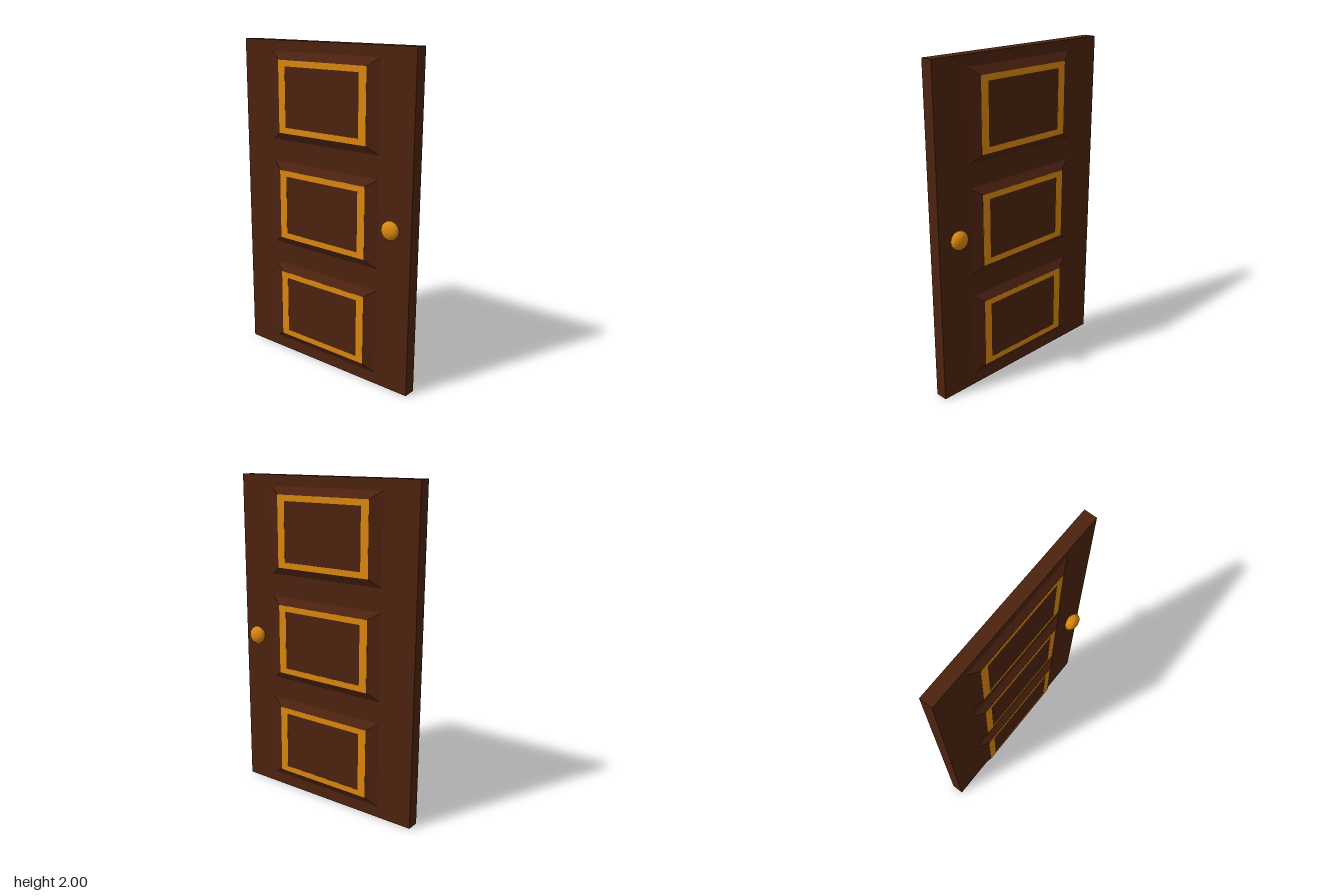
import * as THREE from 'three';

const WIDTH = 1.258, HEIGHT = 2, HALF = 0.0385;   // slab
const RAISE = 0.029;                              // panel relief
const BASE = [0.8, 0.53], FACE = [0.656, 0.436], INNER = [0.552, 0.364];

// Box whose outer (+z) face is shrunk to form a bevelled panel
function bevelledPanel() {
  const g = new THREE.BoxGeometry(BASE[0], BASE[1], RAISE);
  const p = g.attributes.position;
  for (let i = 0; i < p.count; i++) {
    if (p.getZ(i) > 0) {
      p.setX(i, Math.sign(p.getX(i)) * FACE[0] / 2);
      p.setY(i, Math.sign(p.getY(i)) * FACE[1] / 2);
    }
  }
  const flat = g.toNonIndexed();
  flat.computeVertexNormals();
  return flat;
}

function rectangle(target, [w, h]) {
  target.moveTo(-w / 2, -h / 2).lineTo(w / 2, -h / 2).lineTo(w / 2, h / 2).lineTo(-w / 2, h / 2).closePath();
  return target;
}

// Thin rectangular inlay with an open centre
function inlayFrame() {
  const shape = rectangle(new THREE.Shape(), FACE);
  shape.holes.push(rectangle(new THREE.Path(), INNER));
  return new THREE.ExtrudeGeometry(shape, { depth: 0.001, bevelEnabled: false });
}

// Squashed faceted ball with its pole pointing out of the door
function knobGeometry() {
  const g = new THREE.SphereGeometry(1, 16, 10);
  g.rotateX(Math.PI / 2);
  g.scale(0.057, 0.057, 0.036);
  const flat = g.toNonIndexed();
  flat.computeVertexNormals();
  return flat;
}

export function createModel() {
  const wood = new THREE.MeshStandardMaterial({ color: 0x4d220f });
  wood.name = 'dark wood';
  const brass = new THREE.MeshStandardMaterial({ color: 0xd9870f });
  brass.name = 'brass';

  const door = new THREE.Group();
  door.name = 'door';
  const add = (parent, name, geometry, material, x, y, z) => {
    const mesh = new THREE.Mesh(geometry, material);
    mesh.name = name;
    mesh.position.set(x, y, z);
    parent.add(mesh);
  };

  add(door, 'slab', new THREE.BoxGeometry(WIDTH, HEIGHT, HALF * 2), wood, 0, HEIGHT / 2, 0);

  const panel = bevelledPanel(), frame = inlayFrame(), knob = knobGeometry();

  // Both faces carry the same panels, inlays and knob
  for (const side of ['front', 'back']) {
    const face = new THREE.Group();
    face.name = side + 'Face';
    const back = side === 'back';
    if (back) face.rotation.y = Math.PI;
    for (const y of [0.336, 1.003, 1.67]) {
      add(face, 'raisedPanel', panel, wood, 0, y, HALF + RAISE / 2);
      add(face, 'panelInlay', frame, brass, 0, y, HALF + RAISE);
    }
    add(face, 'knob', knob, brass, back ? -0.511 : 0.511, 1.002, 0.0725);
    door.add(face);
  }
  return door;
}
